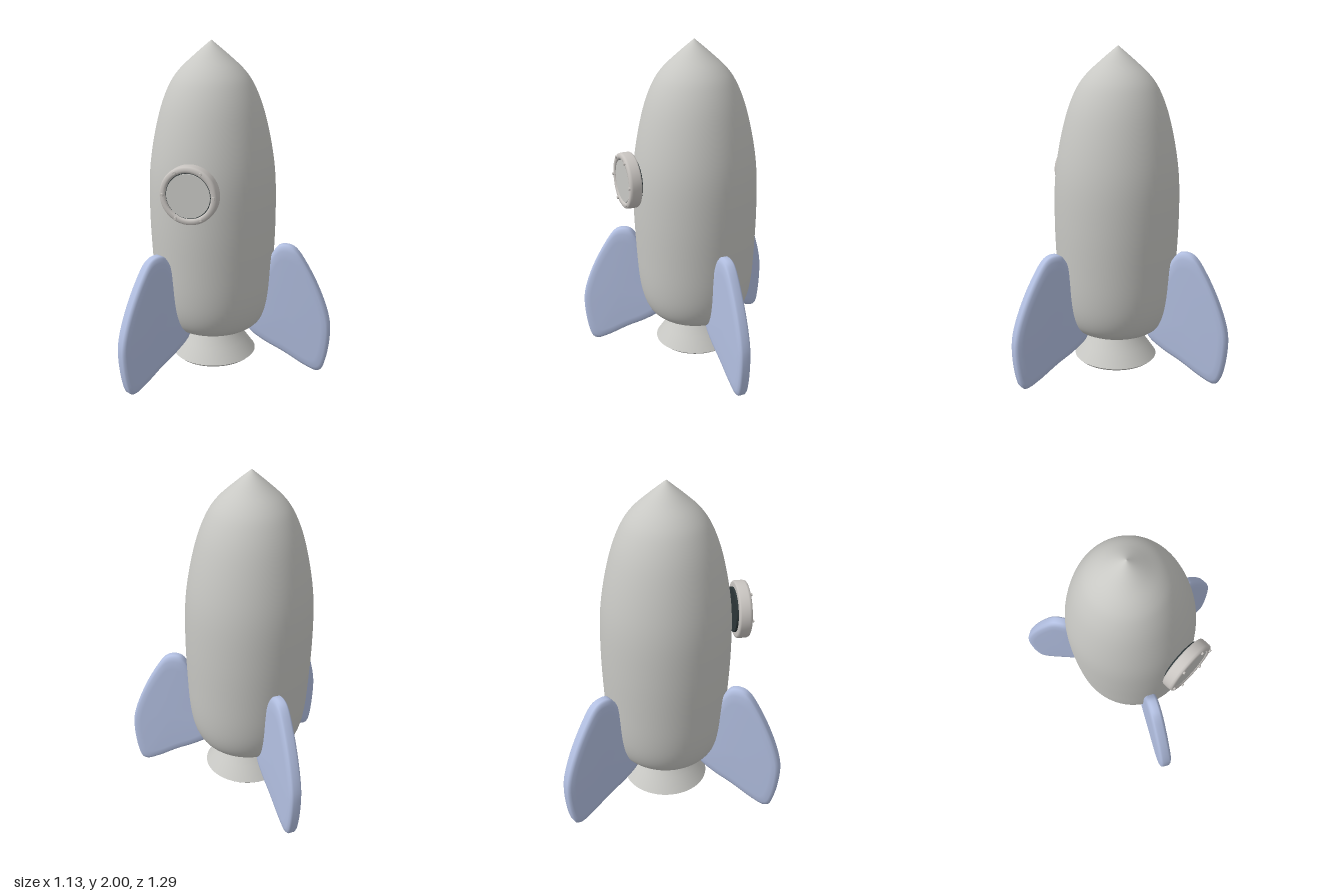
import * as THREE from 'three';

const AXIS_X = -0.175;
const v2 = (p) => new THREE.Vector2(p[0], p[1]);
const material = (name, color) => Object.assign(new THREE.MeshStandardMaterial({ color }), { name });

function addMesh(parent, name, geometry, mat) {
  const mesh = new THREE.Mesh(geometry, mat);
  mesh.name = name;
  parent.add(mesh);
  return mesh;
}

// Fin: one outline stacked in layers, thinner at the rim than in the middle
function finGeometry() {
  const outline = [
    [0.47, 0.805], [0.515, 0.785], [0.59, 0.68], [0.68, 0.5], [0.73, 0.34], [0.735, 0.23],
    [0.715, 0.08], [0.69, 0.015], [0.66, 0.002], [0.585, 0.03], [0.45, 0.105], [0.32, 0.168],
    [0.235, 0.23], [0.215, 0.29], [0.27, 0.45], [0.33, 0.65], [0.385, 0.765], [0.42, 0.8],
  ].reverse().map(([x, y]) => new THREE.Vector3(x, y, 0));
  const n = 96;
  const loop = new THREE.CatmullRomCurve3(outline, true).getPoints(n).slice(0, n);
  const [cx, cy] = [0.49, 0.36];
  const layers = [
    [0.8, -0.04], [0.92, -0.036], [0.975, -0.029], [1, -0.018],
    [1, 0.018], [0.975, 0.029], [0.92, 0.036], [0.8, 0.04],
  ];
  const pos = [], index = [];
  for (const [s, z] of layers) {
    for (const p of loop) pos.push(cx + (p.x - cx) * s, Math.max(0, cy + (p.y - cy) * s), z);
  }
  pos.push(cx, cy, -0.04, cx, cy, 0.04);
  const back = layers.length * n, last = back - n;
  for (let i = 0; i < n; i++) {
    const j = (i + 1) % n;
    for (let k = 0; k < layers.length - 1; k++) {
      const a = k * n + i, b = k * n + j;
      index.push(a, b, b + n, a, b + n, a + n);
    }
    index.push(back, j, i, back + 1, last + i, last + j);
  }
  const g = new THREE.BufferGeometry();
  g.setAttribute('position', new THREE.Float32BufferAttribute(pos, 3));
  g.setIndex(index);
  g.computeVertexNormals();
  return g;
}

export function createModel() {
  const hull = material('hull grey', 0xc8c8c4);
  const blue = material('fin blue', 0xb3c0e2);
  const frame = material('porthole metal', 0xc9c5c1);
  const dark = material('dark gasket', 0x2c3638);

  const model = new THREE.Group();
  model.name = 'rocket';
  const rocket = new THREE.Group();
  rocket.name = 'rocketAssembly';
  rocket.position.x = AXIS_X;
  model.add(rocket);

  // Hull: rounded foot, long belly and pointed nose
  const side = new THREE.SplineCurve([
    [0.215, 0.25], [0.262, 0.268], [0.305, 0.315], [0.338, 0.4], [0.358, 0.52], [0.37, 0.7],
    [0.379, 0.95], [0.375, 1.2], [0.35, 1.4], [0.304, 1.6], [0.25, 1.74], [0.19, 1.83],
    [0.1, 1.915], [0, 2],
  ].map(v2)).getPoints(70);
  addMesh(rocket, 'hull', new THREE.LatheGeometry([v2([0, 0.25]), v2([0.2, 0.25]), ...side], 72), hull);

  // Nozzle: hollow bell with a thin lip
  const bellInside = new THREE.SplineCurve([
    [0, 0.235], [0.06, 0.228], [0.105, 0.205], [0.15, 0.155], [0.21, 0.07],
  ].map(v2)).getPoints(20);
  addMesh(rocket, 'nozzleInside', new THREE.LatheGeometry(bellInside, 56), hull);
  addMesh(rocket, 'nozzleLip', new THREE.LatheGeometry(
    [[0.21, 0.07], [0.22, 0.056], [0.24, 0.053], [0.257, 0.068]].map(v2), 56), hull);
  addMesh(rocket, 'nozzleOutside', new THREE.LatheGeometry(
    [[0.257, 0.068], [0.2, 0.15], [0.148, 0.225], [0.133, 0.27]].map(v2), 56), hull);
  const igniter = addMesh(rocket, 'igniter', new THREE.CylinderGeometry(0.008, 0.008, 0.01, 16), dark);
  igniter.position.y = 0.232;

  // Three fins around the axis
  const fin = finGeometry();
  for (let i = 0; i < 3; i++) {
    addMesh(rocket, 'fin', fin, blue).rotation.y = i * Math.PI * 2 / 3;
  }

  // Porthole, built along y and turned to face the front
  const porthole = new THREE.Group();
  porthole.name = 'porthole';
  porthole.position.y = 1.2;
  porthole.rotation.x = Math.PI / 2;
  rocket.add(porthole);
  addMesh(porthole, 'portholeRing', new THREE.LatheGeometry([
    [0.128, 0.395], [0.155, 0.395], [0.163, 0.398], [0.167, 0.406], [0.167, 0.452],
    [0.164, 0.463], [0.156, 0.469], [0.145, 0.47], [0.136, 0.469], [0.131, 0.463], [0.13, 0.45],
  ].map(v2), 56), frame);
  const gasket = addMesh(porthole, 'portholeGasket', new THREE.CylinderGeometry(0.131, 0.131, 0.074, 56), dark);
  gasket.position.y = 0.42;
  const glass = addMesh(porthole, 'portholePane', new THREE.CylinderGeometry(0.126, 0.126, 0.008, 56), hull);
  glass.position.y = 0.46;
  const rivet = new THREE.CylinderGeometry(0.008, 0.01, 0.012, 16);
  for (let i = 0; i < 6; i++) {
    const a = i * Math.PI / 3;
    addMesh(porthole, 'rivet', rivet, frame).position.set(0.148 * Math.cos(a), 0.472, 0.148 * Math.sin(a));
  }
  return model;
}
